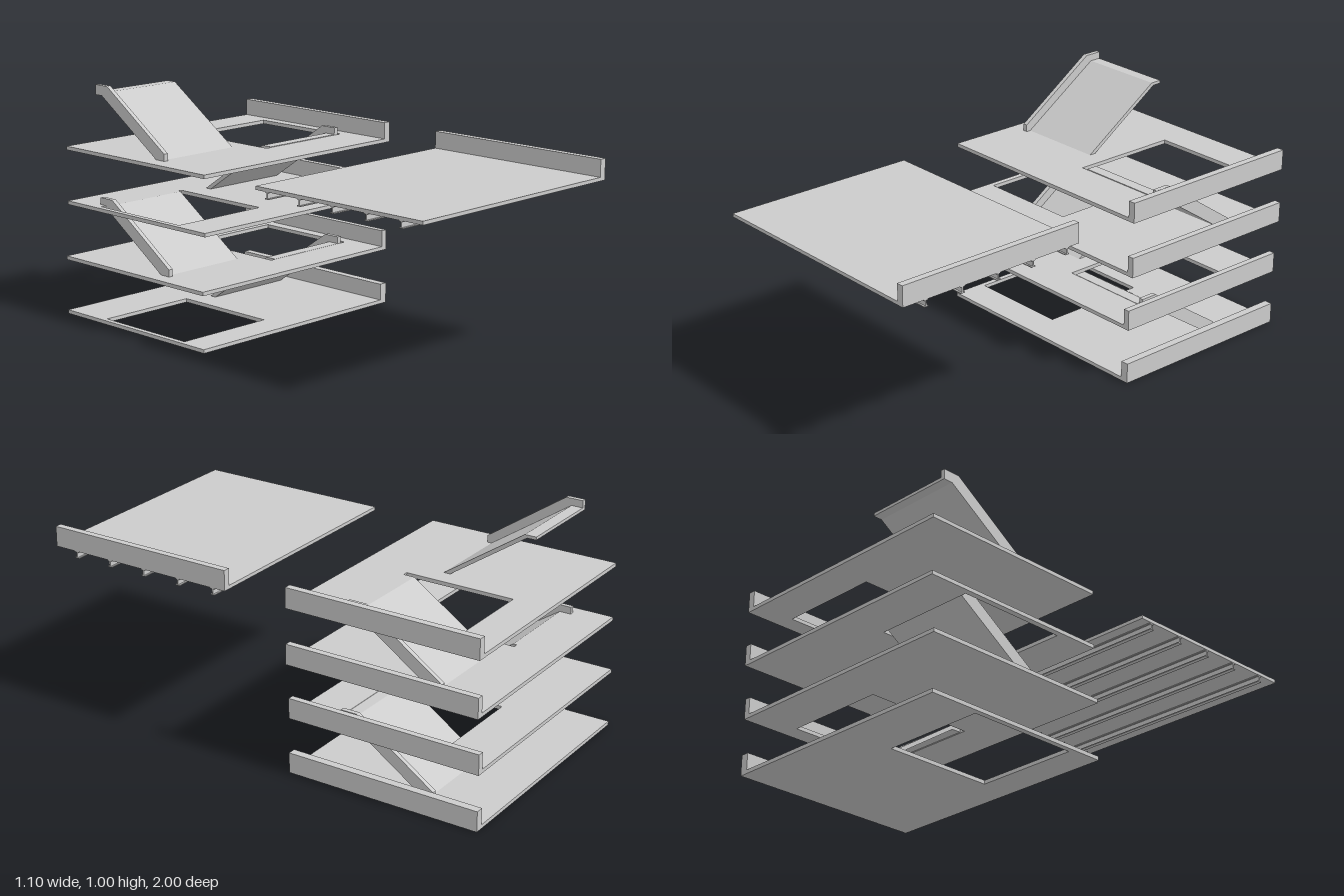
import * as THREE from 'three';

const material = new THREE.MeshStandardMaterial({ color: 0xcccccc, side: THREE.DoubleSide });

function add(parent, geometry, name) {
  const mesh = new THREE.Mesh(geometry, material);
  mesh.name = name;
  parent.add(mesh);
}

// Box given by its extents
function box(parent, name, x0, x1, y0, y1, z0, z1) {
  const g = new THREE.BoxGeometry(x1 - x0, y1 - y0, z1 - z0);
  g.translate((x0 + x1) / 2, (y0 + y1) / 2, (z0 + z1) / 2);
  add(parent, g, name);
}

// Side profile of (z, y) points, extruded from x0 to x1
function profile(parent, name, points, x0, x1) {
  const shape = new THREE.Shape(points.map(([z, y]) => new THREE.Vector2(z, y)));
  const g = new THREE.ExtrudeGeometry(shape, { depth: x1 - x0, bevelEnabled: false });
  g.rotateY(-Math.PI / 2).translate(x1, 0, 0);
  add(parent, g, name);
}

function rectangle(PathClass, x0, x1, z0, z1) {
  return new PathClass([[x0, z0], [x1, z0], [x1, z1], [x0, z1]].map(p => new THREE.Vector2(...p)));
}

// Floor slab with a stair opening and a parapet along its +x edge
function makeFloor({ top, x0, x1, wall, hole }) {
  const floor = new THREE.Group();
  floor.name = 'floor';
  const shape = rectangle(THREE.Shape, x0, x1, -1, -0.145);
  shape.holes.push(rectangle(THREE.Path, ...hole));
  const g = new THREE.ExtrudeGeometry(shape, { depth: 0.016, bevelEnabled: false });
  g.rotateX(Math.PI / 2).translate(0, top, 0);
  add(floor, g, 'floorSlab');
  box(floor, 'parapet', wall, x1, top - 0.016, top + 0.071, -1, -0.145);
  return floor;
}

// Sloped stair slab with a short landing and a raised stringer on its outer side
const underside = [[0.425, 0.225], [0.385, 0.225], [0.05, 0]];
const slabOutline = [[0.02, 0], [0.375, 0.238], [0.425, 0.238], ...underside];
const stringerOutline = [[0, 0], [0, 0.03], [0.35, 0.268], [0.425, 0.268], ...underside];

function makeStair({ base, start, dir, x0, x1 }) {
  const stair = new THREE.Group();
  stair.name = 'stair';
  const place = outline => outline.map(([d, h]) => [start + dir * d, base + h]);
  const w = 0.02;
  const outer = dir < 0 ? [x0, x0 + w] : [x1 - w, x1];
  const inner = dir < 0 ? [x0 + w, x1] : [x0, x1 - w];
  profile(stair, 'stairSlab', place(slabOutline), ...inner);
  profile(stair, 'stringer', place(stringerOutline), ...outer);
  return stair;
}

export function createModel() {
  const model = new THREE.Group();
  model.name = 'buildingFloors';

  // Four stacked floors
  const floors = [
    { top: 0.018, x0: -0.55, x1: 0.53, wall: 0.495, hole: [-0.527, -0.077, -0.77, -0.285] },
    { top: 0.256, x0: -0.55, x1: 0.53, wall: 0.503, hole: [0.003, 0.453, -0.80, -0.32] },
    { top: 0.494, x0: -0.535, x1: 0.547, wall: 0.518, hole: [-0.51, -0.06, -0.81, -0.325] },
    { top: 0.73, x0: -0.535, x1: 0.547, wall: 0.516, hole: [0.018, 0.468, -0.84, -0.36] },
  ];
  floors.forEach(f => model.add(makeFloor(f)));

  // Stairs alternate in side and direction
  const stairs = [
    { base: 0.018, start: -0.747, dir: 1, x0: 0.027, x1: 0.43 },
    { base: 0.256, start: -0.42, dir: -1, x0: -0.485, x1: -0.08 },
    { base: 0.494, start: -0.787, dir: 1, x0: 0.045, x1: 0.45 },
    { base: 0.73, start: -0.46, dir: -1, x0: -0.465, x1: -0.065 },
  ];
  stairs.forEach(s => model.add(makeStair(s)));

  // Detached roof deck in front
  const roof = new THREE.Group();
  roof.name = 'roofDeck';
  box(roof, 'roofSlab', -0.535, 0.543, 0.715, 0.73, 0.145, 1);
  box(roof, 'parapet', 0.513, 0.543, 0.715, 0.802, 0.145, 1);

  // I-beams under the roof deck
  for (let i = 0; i < 5; i++) {
    const z = 0.205 + i * 0.1722;
    const beam = new THREE.Group();
    beam.name = 'roofBeam';
    box(beam, 'topFlange', -0.533, 0.543, 0.711, 0.715, z - 0.01, z + 0.01);
    box(beam, 'web', -0.533, 0.543, 0.689, 0.711, z - 0.003, z + 0.003);
    box(beam, 'bottomFlange', -0.533, 0.543, 0.685, 0.689, z - 0.01, z + 0.01);
    roof.add(beam);
  }
  model.add(roof);
  return model;
}
